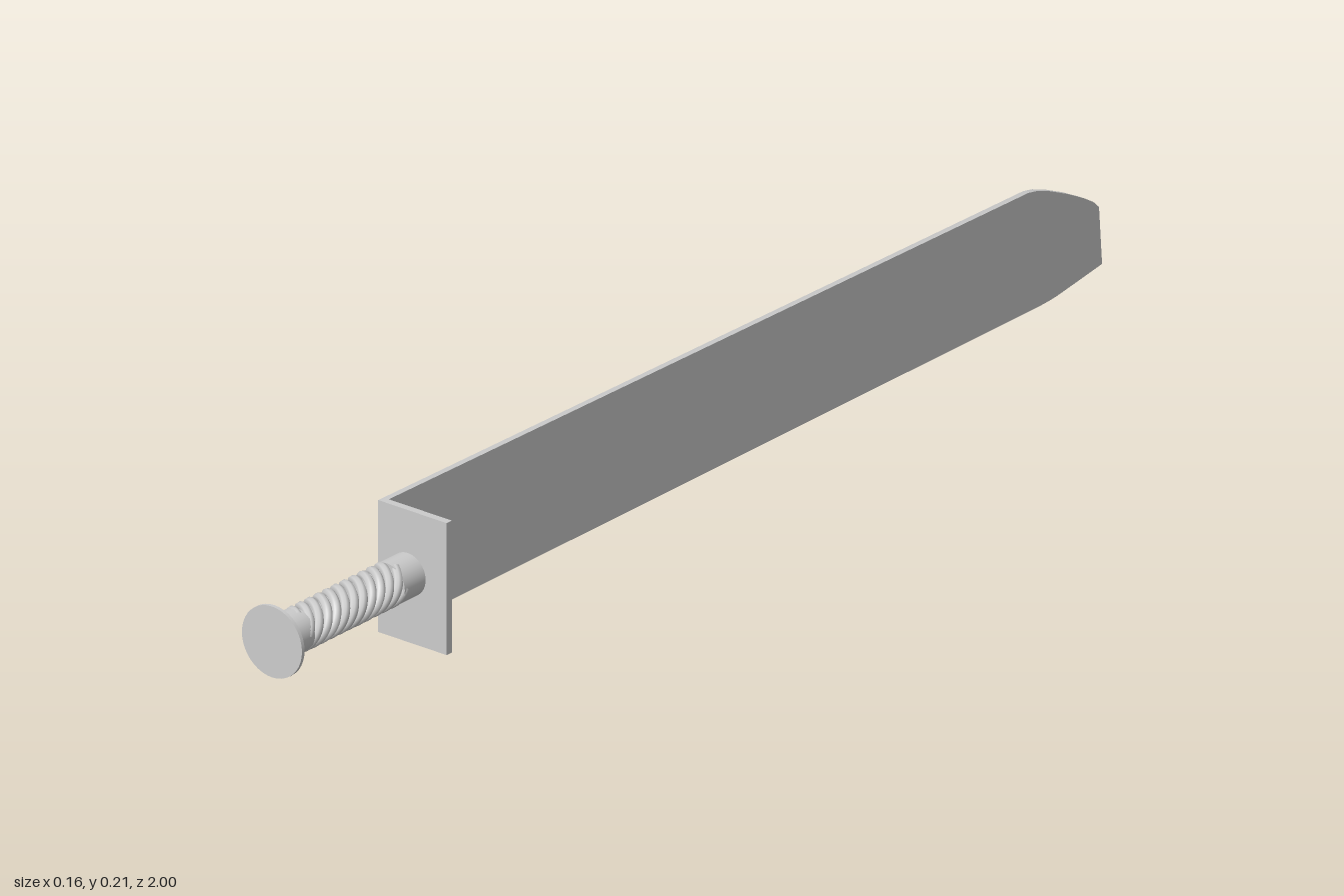
import * as THREE from 'three';
import { toCreasedNormals } from 'three/addons/utils/BufferGeometryUtils.js';

const material = new THREE.MeshStandardMaterial({ color: 0xcccccc });
const AXIS = { x: 0.003, y: 0.109 };

function add(parent, name, geometry) {
  const mesh = new THREE.Mesh(geometry, material);
  mesh.name = name;
  parent.add(mesh);
  return mesh;
}

// Linear interpolation through [z, value] points with z decreasing
function sample(points, z) {
  for (let i = 1; i < points.length; i++) {
    const [z0, v0] = points[i - 1], [z1, v1] = points[i];
    if (z >= z1) return v0 + (v1 - v0) * (z0 - z) / (z0 - z1);
  }
  return points[points.length - 1][1];
}

// Long flat blade: a box whose sections follow the spine and the bent tip
function bladeGeometry() {
  const spine = [[0.687, 0.212], [-0.8, 0.191], [-0.82, 0.187], [-0.85, 0.176],
    [-0.9, 0.152], [-0.95, 0.125], [-0.99, 0.1], [-1, 0.094]];
  const stations = [0.687, -0.8, -0.82, -0.835, -0.85, -0.865, -0.88, -0.9, -0.925, -0.95, -0.975, -1];
  const n = stations.length - 1;
  const geometry = new THREE.BoxGeometry(0.01, 1, 1, 1, 1, n);
  const p = geometry.attributes.position;
  for (let i = 0; i < p.count; i++) {
    const z = stations[Math.round((0.5 - p.getZ(i)) * n)];
    const upper = p.getY(i) > 0;
    const d = Math.max(0, -0.82 - z);
    const bend = d < 0.06 ? d * d / 0.12 : d - 0.03; // eased into a straight bend
    const lean = upper && z === -1 ? 0.007 : 0;
    p.setXYZ(i, p.getX(i) - 0.048 - bend * 0.167, upper ? sample(spine, z) : 0, z + lean);
  }
  return toCreasedNormals(geometry, 0.5);
}

// Guard plate with one softly rounded upper corner
function guardGeometry() {
  const s = new THREE.Shape();
  s.moveTo(-0.053, 0);
  s.lineTo(0.077, 0);
  s.lineTo(0.077, 0.212);
  s.lineTo(-0.048, 0.212);
  s.quadraticCurveTo(-0.053, 0.212, -0.053, 0.207);
  s.closePath();
  return new THREE.ExtrudeGeometry(s, { depth: 0.012, bevelEnabled: false, curveSegments: 4 });
}

// Cylinder lying along z between two depths
function rod(parent, name, radius, z0, z1) {
  const geometry = new THREE.CylinderGeometry(radius, radius, z1 - z0, 40).rotateX(Math.PI / 2);
  add(parent, name, geometry).position.set(AXIS.x, AXIS.y, (z0 + z1) / 2);
}

class Helix extends THREE.Curve {
  constructor(radius, z0, z1, turns, phase) {
    super();
    Object.assign(this, { radius, z0, z1, turns, phase });
  }
  getPoint(t, target = new THREE.Vector3()) {
    const a = this.phase + t * this.turns * Math.PI * 2;
    return target.set(AXIS.x + this.radius * Math.cos(a), AXIS.y + this.radius * Math.sin(a),
      this.z0 + (this.z1 - this.z0) * t);
  }
}

export function createModel() {
  const model = new THREE.Group();
  model.name = 'machete';

  add(model, 'blade', bladeGeometry());
  add(model, 'guardPlate', guardGeometry()).position.z = 0.675;

  const handle = new THREE.Group();
  handle.name = 'handle';
  model.add(handle);
  rod(handle, 'gripCore', 0.027, 0.72, 0.955);
  rod(handle, 'frontCollar', 0.034, 0.685, 0.735);
  rod(handle, 'rearCollar', 0.034, 0.942, 0.995);
  rod(handle, 'pommelDisc', 0.057, 0.994, 1);

  // Twisted strands wound around the grip
  const strands = 5;
  for (let i = 0; i < strands; i++) {
    const curve = new Helix(0.028, 0.95, 0.727, 2.2, i * Math.PI * 2 / strands);
    add(handle, 'gripStrand', new THREE.TubeGeometry(curve, 90, 0.0075, 8));
  }
  return model;
}
